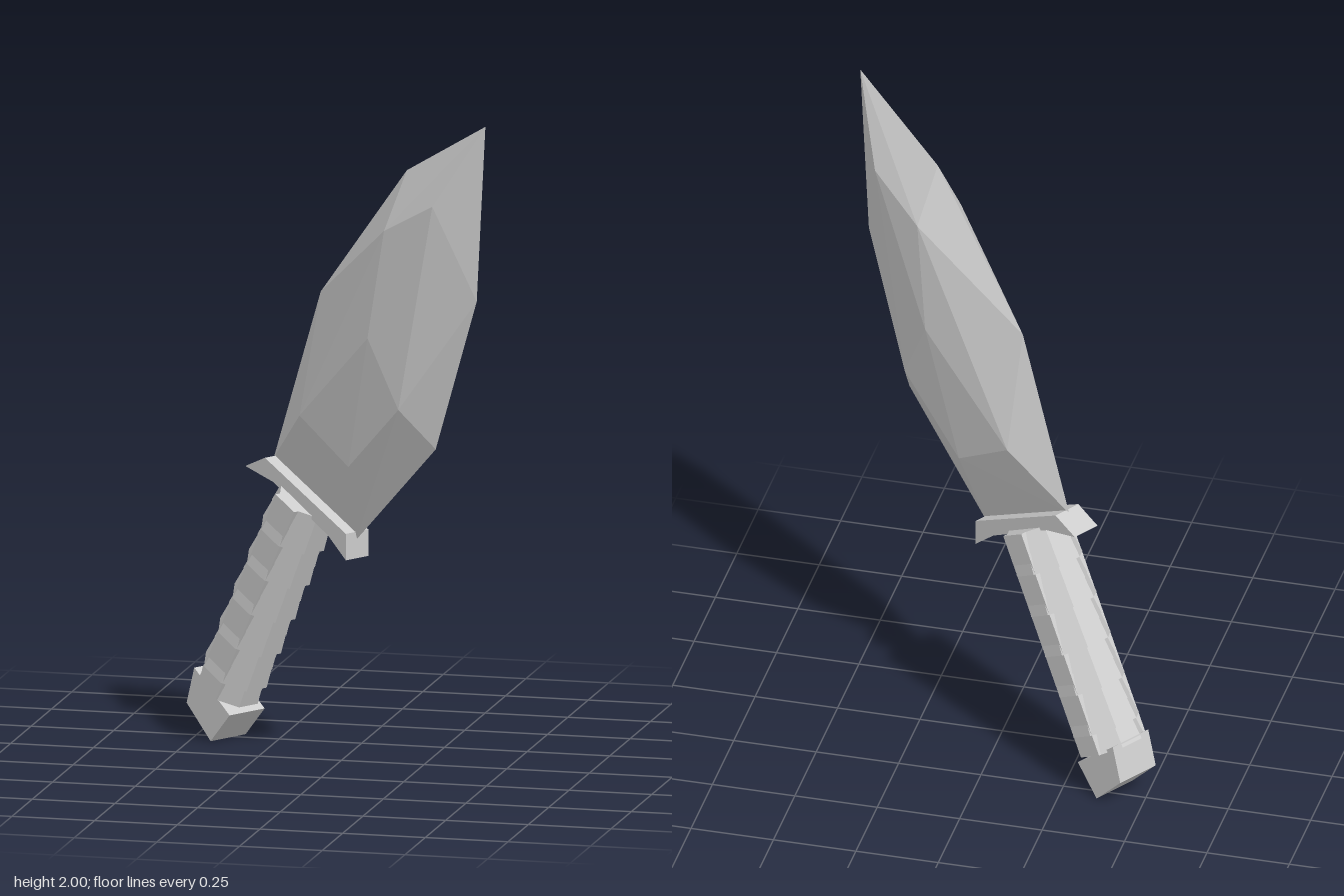
import * as THREE from 'three';
import { ConvexGeometry } from 'three/addons/geometries/ConvexGeometry.js';

const material = new THREE.MeshStandardMaterial({ color: 0xcccccc, flatShading: true });

function part(name, geometry, parent) {
  const mesh = new THREE.Mesh(geometry, material);
  mesh.name = name;
  parent.add(mesh);
  return mesh;
}

// Flat plate cut from an outline, centred on z = 0
function plate(points, depth) {
  const shape = new THREE.Shape(points.map(([x, y]) => new THREE.Vector2(x, y)));
  const geometry = new THREE.ExtrudeGeometry(shape, { depth, bevelEnabled: false });
  return geometry.translate(0, 0, -depth / 2);
}

export function createModel() {
  // Dagger is laid out upright: x across the blade, y along it, z through it
  const dagger = new THREE.Group();
  dagger.name = 'dagger';

  // Faceted blade: sharp outline plus raised points mirrored on both faces
  const edge = [
    [0.05, 1.42], [-0.156, 1.103], [-0.277, 0.56], [-0.2, 0],
    [0.2, 0], [0.341, 0.44], [0.27, 0.936],
  ];
  const raised = [
    [-0.115, 0.235, 0.075], [0.125, 0.225, 0.075], [0.222, 0.512, 0.085],
    [0.03, 0.637, 0.105], [-0.08, 0.95, 0.088], [0.042, 1.13, 0.077],
  ];
  const bladePoints = edge.map(([x, y]) => new THREE.Vector3(x, y, 0));
  for (const [x, y, z] of raised) {
    bladePoints.push(new THREE.Vector3(x, y, z), new THREE.Vector3(x, y, -z));
  }
  part('blade', new ConvexGeometry(bladePoints), dagger);

  // Guard with tips that hook down toward the hand
  part('guard', plate([
    [-0.195, 0.012], [-0.25, -0.06], [-0.13, -0.03],
    [0.13, -0.03], [0.228, -0.05], [0.19, 0.02],
  ], 0.092), dagger);

  // Grip: smooth face panels with stacked eight-sided wrap rings
  const grip = new THREE.Group();
  grip.name = 'grip';
  grip.position.x = -0.025;
  dagger.add(grip);
  const top = -0.02, length = 0.7, rings = 11, step = length / rings;
  part('gripPanels', new THREE.BoxGeometry(0.088, length, 0.188), grip).position.y = top - length / 2;
  for (let i = 0; i < rings; i++) {
    const wide = i % 2 ? 0.106 : 0.1;
    const ring = part('gripRing', new THREE.CylinderGeometry(wide - 0.008, wide, step, 8), grip);
    ring.rotation.y = Math.PI / 8;
    ring.position.y = top - step * (i + 0.5);
  }

  // Slightly skewed pommel block
  part('pommel', plate([
    [-0.117, -0.705], [-0.093, -0.817], [0.044, -0.857], [0.072, -0.74],
  ], 0.143), dagger);

  // Lean the dagger in its own plane, then turn it about the vertical
  dagger.rotation.z = THREE.MathUtils.degToRad(-28.4);
  dagger.position.set(-0.0925, 0.775, 0.017);
  const model = new THREE.Group();
  const turn = new THREE.Group();
  turn.name = 'leaningDagger';
  turn.rotation.y = THREE.MathUtils.degToRad(-32.2);
  turn.add(dagger);
  model.add(turn);
  return model;
}
